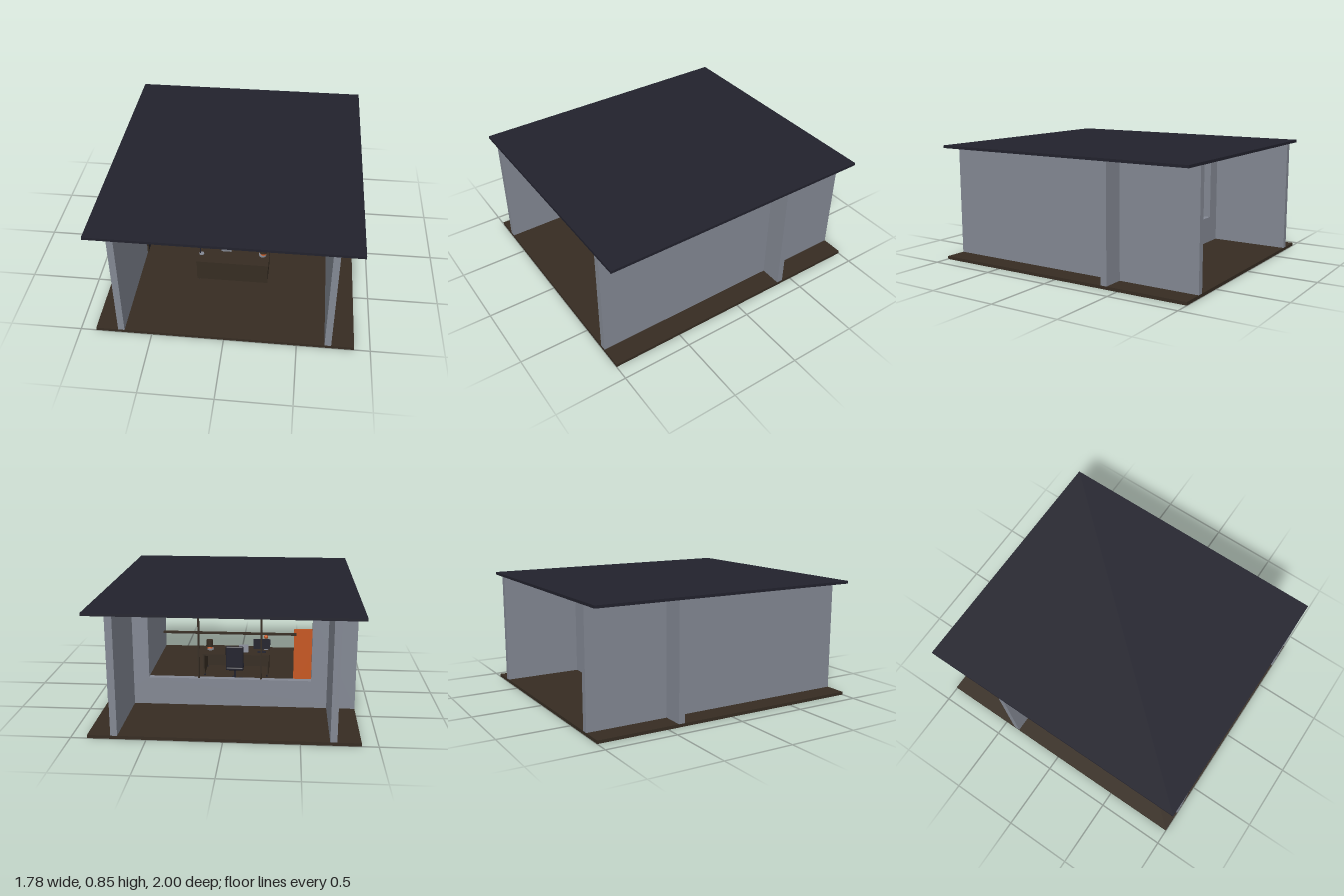
import * as THREE from 'three';
import { RoundedBoxGeometry } from 'three/addons/geometries/RoundedBoxGeometry.js';

const mat = (name, color) => {
  const m = new THREE.MeshStandardMaterial({ color });
  m.name = name;
  return m;
};

export function createModel() {
  const grey = mat('wallGrey', 0x838893);
  const navy = mat('darkNavy', 0x22222d);
  const brown = mat('darkBrown', 0x362c22);
  const orange = mat('orange', 0xc65720);

  const model = new THREE.Group();
  model.name = 'officePavilion';

  const section = (name) => {
    const g = new THREE.Group();
    g.name = name;
    model.add(g);
    return g;
  };
  const add = (parent, name, geometry, material) => {
    const m = new THREE.Mesh(geometry, material);
    m.name = name;
    parent.add(m);
    return m;
  };
  // Box given by its limits on each axis
  const box = (parent, name, material, x0, x1, y0, y1, z0, z1) => {
    const m = add(parent, name, new THREE.BoxGeometry(x1 - x0, y1 - y0, z1 - z0), material);
    m.position.set((x0 + x1) / 2, (y0 + y1) / 2, (z0 + z1) / 2);
    return m;
  };
  const cylinder = (parent, name, material, rTop, rBottom, x, y0, y1, z, sides = 20) => {
    const m = add(parent, name, new THREE.CylinderGeometry(rTop, rBottom, y1 - y0, sides), material);
    m.position.set(x, (y0 + y1) / 2, z);
    return m;
  };

  // Shell: floor, roof and side walls
  const shell = section('shell');
  box(shell, 'floor', brown, -0.89, 0.89, 0, 0.022, -1, 1);
  box(shell, 'roof', navy, -0.89, 0.89, 0.826, 0.845, -1, 1);
  for (const s of [-1, 1]) {
    const wall = box(shell, 'sideWall', grey, -0.0225, 0.0225, 0.022, 0.826, -1, 1);
    wall.position.x = s * 0.7125;
  }

  // Cross wall with the window opening
  const outline = new THREE.Shape([[-0.89, 0.022], [0.89, 0.022], [0.89, 0.826], [-0.89, 0.826]]
    .map((p) => new THREE.Vector2(...p)));
  outline.holes.push(new THREE.Path([[-0.578, 0.222], [-0.578, 0.715], [0.578, 0.715], [0.578, 0.222]]
    .map((p) => new THREE.Vector2(...p))));
  const crossWall = add(shell, 'crossWall',
    new THREE.ExtrudeGeometry(outline, { depth: 0.045, bevelEnabled: false }), grey);
  crossWall.position.z = -0.42;

  // Window bars
  const windowBars = section('windowBars');
  for (const x of [-0.222, 0.222]) {
    box(windowBars, 'mullion', brown, x - 0.006, x + 0.006, 0.222, 0.715, -0.41, -0.388);
  }
  box(windowBars, 'transom', brown, -0.467, 0.467, 0.552, 0.565, -0.41, -0.388);

  // Doorway on the side wall, with a standing orange leaf
  const door = section('doorway');
  box(door, 'doorPanel', navy, -0.69, -0.684, 0.022, 0.51, -0.045, 0.175);
  box(door, 'doorHead', brown, -0.69, -0.678, 0.508, 0.523, -0.06, 0.19);
  for (const z of [-0.06, 0.177]) {
    box(door, 'doorJamb', brown, -0.69, -0.678, 0.022, 0.51, z, z + 0.013);
  }
  const knob = add(door, 'doorKnob', new THREE.SphereGeometry(0.008, 14, 10), grey);
  knob.position.set(-0.676, 0.26, 0.16);
  box(door, 'openLeaf', orange, -0.68, -0.455, 0.024, 0.49, -0.03, -0.018);

  // Desk
  const desk = section('desk');
  box(desk, 'deskTop', brown, -0.265, 0.265, 0.19, 0.203, 0.2, 0.45);
  box(desk, 'frontPanel', brown, -0.262, 0.262, 0.033, 0.19, 0.434, 0.446);
  for (const s of [-1, 1]) {
    const side = box(desk, 'sidePanel', brown, -0.006, 0.006, 0.033, 0.19, 0.205, 0.434);
    side.position.x = s * 0.256;
    for (const z of [0.22, 0.43]) {
      cylinder(desk, 'deskFoot', navy, 0.007, 0.007, s * 0.25, 0.022, 0.033, z, 12);
    }
  }

  // Monitor
  const monitor = section('monitor');
  box(monitor, 'screen', navy, -0.27, -0.135, 0.23, 0.31, 0.285, 0.295);
  box(monitor, 'stand', navy, -0.209, -0.197, 0.206, 0.24, 0.275, 0.285);
  box(monitor, 'standFoot', navy, -0.235, -0.17, 0.203, 0.208, 0.262, 0.3);

  // Laptop
  const laptop = section('laptop');
  box(laptop, 'keyboard', grey, -0.095, -0.018, 0.203, 0.208, 0.265, 0.318);
  const lid = box(laptop, 'lid', grey, -0.095, -0.018, 0.206, 0.252, 0.315, 0.32);
  lid.rotation.x = 0.15;

  // Desk lamp with a round orange head
  const lamp = section('deskLamp');
  cylinder(lamp, 'lampBase', grey, 0.018, 0.018, -0.235, 0.203, 0.209, 0.36);
  cylinder(lamp, 'lampStem', navy, 0.003, 0.003, -0.244, 0.209, 0.305, 0.36, 10);
  const head = add(lamp, 'lampHead', new THREE.SphereGeometry(0.016, 18, 12), orange);
  head.position.set(-0.234, 0.31, 0.36);

  // Small shaded lamp
  const tableLamp = section('tableLamp');
  cylinder(tableLamp, 'foot', grey, 0.027, 0.027, 0.215, 0.203, 0.215, 0.33);
  cylinder(tableLamp, 'body', orange, 0.018, 0.022, 0.22, 0.215, 0.232, 0.33);
  cylinder(tableLamp, 'shade', brown, 0.026, 0.026, 0.22, 0.23, 0.285, 0.33);

  // Office chair behind the desk
  const chair = section('chair');
  const back = add(chair, 'backrest', new RoundedBoxGeometry(0.136, 0.17, 0.022, 4, 0.01), navy);
  back.position.set(-0.002, 0.24, 0.035);
  const seat = add(chair, 'seat', new RoundedBoxGeometry(0.136, 0.025, 0.13, 4, 0.01), navy);
  seat.position.set(-0.002, 0.14, 0.1);
  cylinder(chair, 'column', navy, 0.008, 0.008, -0.002, 0.04, 0.13, 0.1, 12);
  for (let i = 0; i < 5; i++) {
    const a = (i * Math.PI * 2) / 5;
    const leg = add(chair, 'chairLeg', new THREE.BoxGeometry(0.065, 0.01, 0.012), navy);
    leg.position.set(-0.002 + Math.cos(a) * 0.032, 0.036, 0.1 - Math.sin(a) * 0.032);
    leg.rotation.y = a;
    const caster = add(chair, 'caster', new THREE.SphereGeometry(0.008, 10, 8), navy);
    caster.position.set(-0.002 + Math.cos(a) * 0.06, 0.03, 0.1 - Math.sin(a) * 0.06);
  }

  return model;
}
